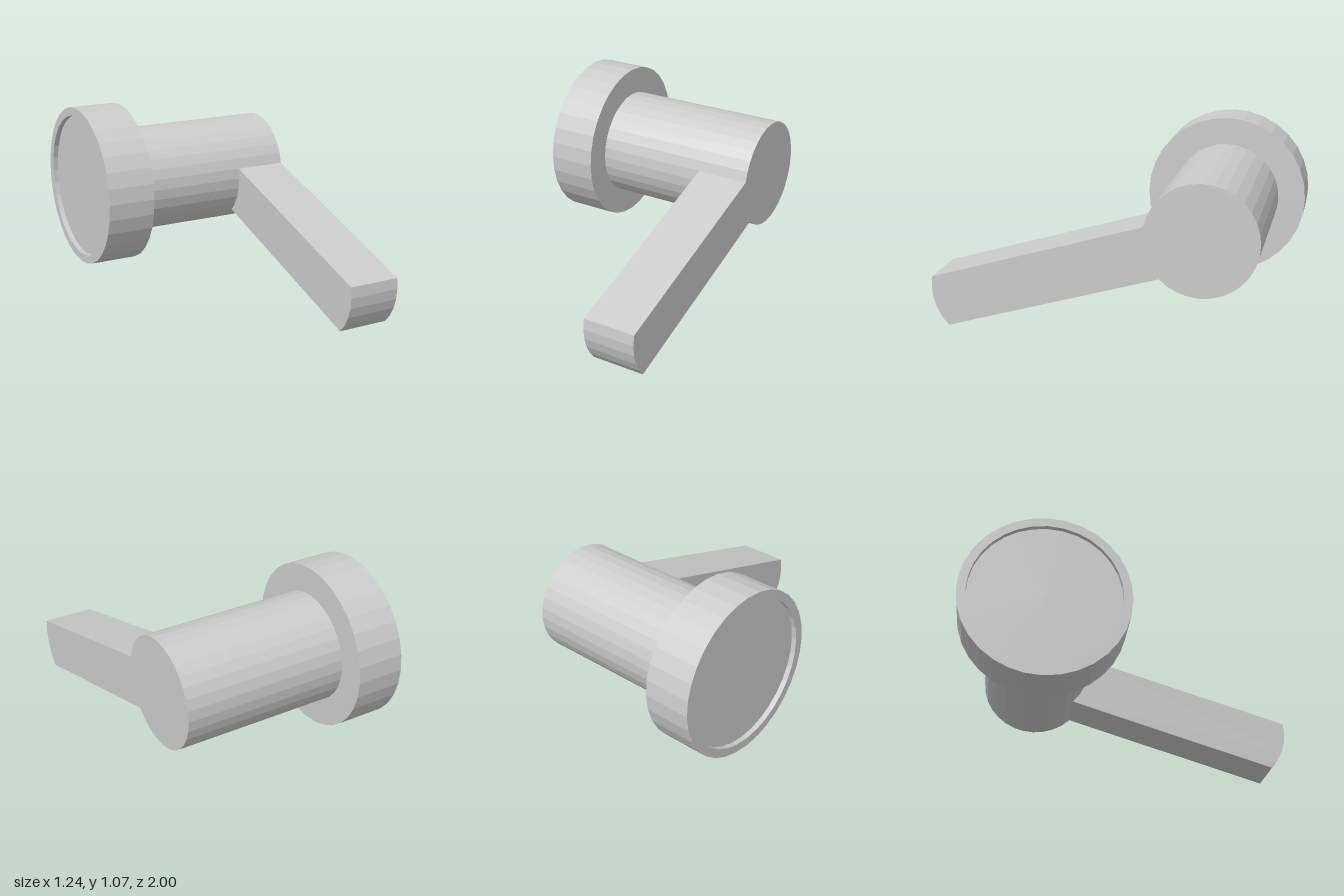
import * as THREE from 'three';

const SIDES = 32;
const HUB = { z: -0.525, y: 0.593 };   // axis of the barrel
const TIP = { z: 0.684, y: 0.2235 };   // centre of the lever's rounded end
const R = 0.316;                       // radius of barrel and lever tip

export function createModel() {
  const group = new THREE.Group();
  const material = new THREE.MeshStandardMaterial({ color: 0xcccccc, flatShading: true });

  const add = (name, geometry) => {
    const flat = geometry.index ? geometry.toNonIndexed() : geometry;
    flat.computeVertexNormals();
    const mesh = new THREE.Mesh(flat, material);
    mesh.name = name;
    group.add(mesh);
    return mesh;
  };

  // Turned part: profile of [radius, x] running along the barrel axis
  const turned = (name, profile) => {
    const points = profile.map(([r, x]) => new THREE.Vector2(r, x));
    const geometry = new THREE.LatheGeometry(points, SIDES).rotateZ(-Math.PI / 2);
    add(name, geometry).position.set(0, HUB.y, HUB.z);
  };

  // Flange with a shallow recess in its outer face
  turned('flange', [
    [0, -0.59], [0.425, -0.59], [0.425, -0.62],
    [0.475, -0.62], [0.475, -0.34], [R, -0.34],
  ]);

  // Barrel between flange and lever
  turned('barrel', [[R, -0.34], [R, 0.315]]);

  // Lever: hub and arm as one outline, joined between matching circle facets
  const outline = [];
  const arc = (c, from, to) => {
    for (let i = from; i <= to; i++) {
      const a = (i / SIDES) * Math.PI * 2;
      outline.push(new THREE.Vector2(-(c.z + R * Math.cos(a)), c.y + R * Math.sin(a)));
    }
  };
  arc(HUB, 1, 28);
  arc(TIP, -4, 1);
  const lever = new THREE.ExtrudeGeometry(new THREE.Shape(outline), { depth: 0.305, bevelEnabled: false });
  lever.rotateY(Math.PI / 2).translate(0.315, 0, 0);
  add('lever', lever);

  return group;
}
